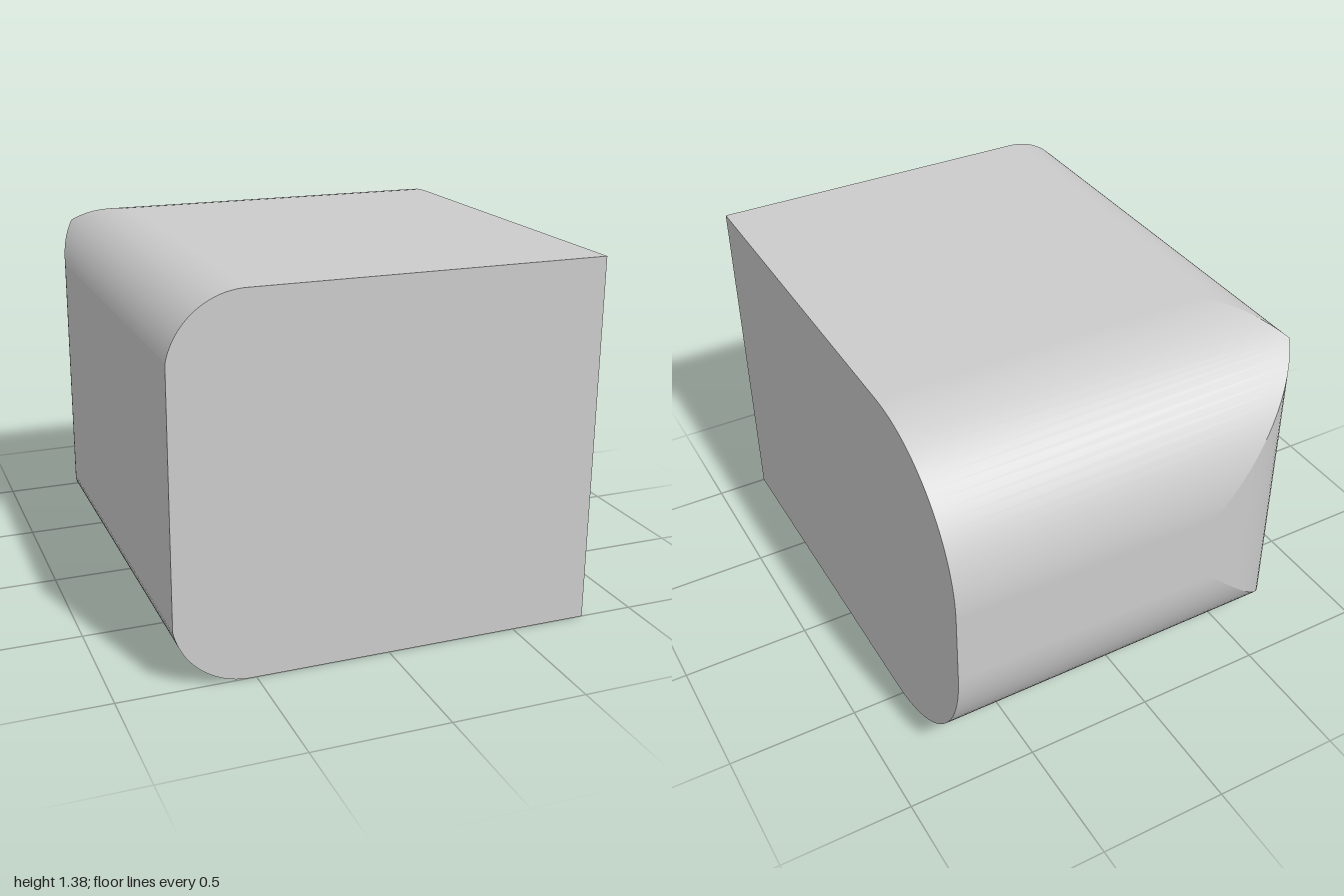
import * as THREE from 'three';

const V = (x, y, z) => new THREE.Vector3(x, y, z);
const W = 0.794, H = 1.38, D = 1; // half width, height, half depth

// A facet is a half-space n.p <= d; rounded facets also carry their cylinder axis for smooth normals
const flat = (n, d) => ({ n, d });

// Quarter cylinder from direction a to direction b around a centre, as narrow facets
function roundedEdge(centre, a, b, radius, steps = 24) {
  const axis = a.clone().cross(b);
  const half = Math.PI / 4 / steps;
  return Array.from({ length: steps }, (_, i) => {
    const t = (2 * i + 1) * half;
    const n = a.clone().multiplyScalar(Math.cos(t)).addScaledVector(b, Math.sin(t));
    return { n, d: n.dot(centre) + radius * Math.cos(half), centre, axis };
  });
}

// Keep the part of a convex polygon inside a half-space
function clip(poly, { n, d }) {
  const out = [];
  poly.forEach((p, i) => {
    const q = poly[(i + 1) % poly.length];
    const sp = n.dot(p) - d, sq = n.dot(q) - d;
    if (sp <= 1e-9) out.push(p);
    if ((sp < -1e-9 && sq > 1e-9) || (sp > 1e-9 && sq < -1e-9)) out.push(p.clone().lerp(q, sp / (sp - sq)));
  });
  return out;
}

// Solid shared by all half-spaces: each facet is a big square trimmed by the others
function solidGeometry(facets) {
  const pos = [], nor = [];
  for (const f of facets) {
    const u = (Math.abs(f.n.y) < 0.9 ? V(0, 1, 0) : V(1, 0, 0)).cross(f.n).normalize();
    const v = f.n.clone().cross(u);
    let poly = [[-1, -1], [1, -1], [1, 1], [-1, 1]].map(([s, t]) =>
      f.n.clone().multiplyScalar(f.d).addScaledVector(u, 5 * s).addScaledVector(v, 5 * t));
    for (const g of facets) if (g !== f) poly = clip(poly, g);
    const normalAt = (p) => {
      if (!f.axis) return f.n;
      const r = p.clone().sub(f.centre);
      return r.addScaledVector(f.axis, -r.dot(f.axis)).normalize();
    };
    for (let i = 1; i < poly.length - 1; i++) {
      for (const p of [poly[0], poly[i], poly[i + 1]]) {
        pos.push(...p.toArray());
        nor.push(...normalAt(p).toArray());
      }
    }
  }
  const geometry = new THREE.BufferGeometry();
  geometry.setAttribute('position', new THREE.Float32BufferAttribute(pos, 3));
  geometry.setAttribute('normal', new THREE.Float32BufferAttribute(nor, 3));
  return geometry;
}

export function createModel() {
  const group = new THREE.Group();
  group.name = 'roundedBlock';

  const right = V(-1, 0, 0), back = V(0, 0, -1), up = V(0, 1, 0), down = V(0, -1, 0);
  const sideR = 0.28, backR = 0.55;
  const facets = [
    // Flat sides of the block
    flat(V(1, 0, 0), W), flat(right, W),
    flat(up, H), flat(down, 0),
    flat(V(0, 0, 1), D), flat(back, D),
    // Small rounds along the top and bottom of the right side
    ...roundedEdge(V(-0.52, H - sideR, 0), up, right, sideR),
    ...roundedEdge(V(-0.52, sideR, 0), down, right, sideR),
    // Large rounds along the top and bottom of the back
    ...roundedEdge(V(0, H - backR, backR - D), up, back, backR),
    ...roundedEdge(V(0, backR, backR - D), down, back, backR),
    // Large upright round at the back right corner
    ...roundedEdge(V(-0.25, 0, backR - D), right, back, backR),
  ];

  const block = new THREE.Mesh(solidGeometry(facets), new THREE.MeshStandardMaterial({ color: 0xcccccc }));
  block.name = 'block';
  group.add(block);
  return group;
}
